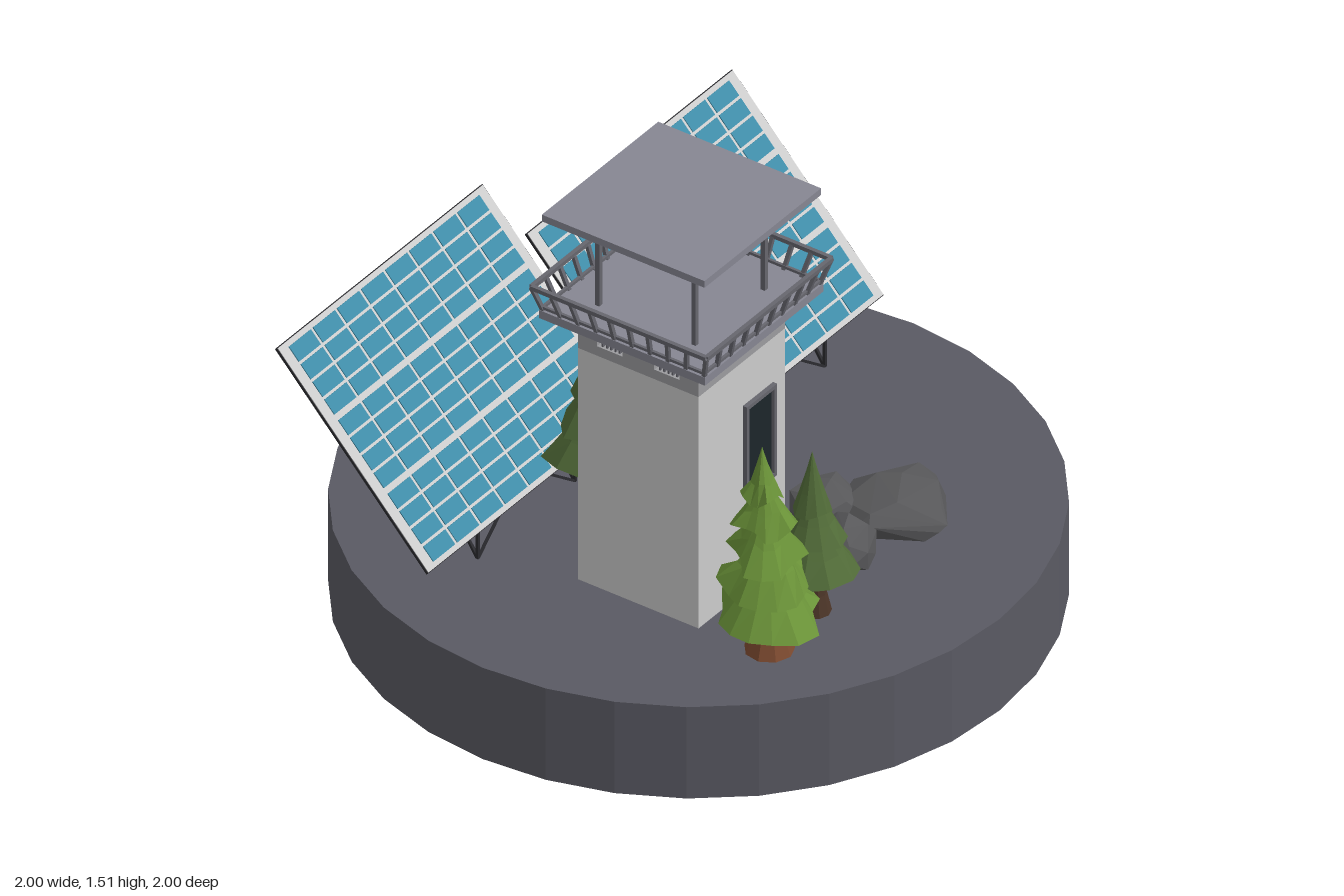
import * as THREE from 'three';
import { mergeGeometries } from 'three/addons/utils/BufferGeometryUtils.js';
import { ConvexGeometry } from 'three/addons/geometries/ConvexGeometry.js';

const paint = (color) => new THREE.MeshStandardMaterial({ color, flatShading: true });
const GROUND = paint(0x5a5a63), WALL = paint(0xcccccc), BAND = paint(0x9c9c9f), SLAB = paint(0x868692),
  METAL = paint(0x66666e), DARK = paint(0x2b2b2f), GLASS = paint(0x1c262b), FRAME = paint(0xcccccc),
  CELL = paint(0x3f8ca8), ROCK = paint(0x58585a);

function seeded(seed) {
  let s = seed;
  return () => (s = (s * 16807) % 2147483647) / 2147483647;
}
function add(parent, name, geometry, material, x = 0, y = 0, z = 0) {
  const m = new THREE.Mesh(geometry, material);
  m.name = name;
  m.position.set(x, y, z);
  parent.add(m);
  return m;
}
function group(parent, name, x = 0, y = 0, z = 0) {
  const g = new THREE.Group();
  g.name = name;
  g.position.set(x, y, z);
  parent.add(g);
  return g;
}
const box = (w, h, d, x = 0, y = 0, z = 0) => new THREE.BoxGeometry(w, h, d).translate(x, y, z);

// Thin square bar between two points
function bar(a, b, r = 0.006) {
  const p = new THREE.Vector3(...a), q = new THREE.Vector3(...b);
  const dir = q.clone().sub(p);
  const g = new THREE.CylinderGeometry(r, r, dir.length(), 4).rotateY(Math.PI / 4);
  g.applyQuaternion(new THREE.Quaternion().setFromUnitVectors(new THREE.Vector3(0, 1, 0), dir.normalize()));
  return g.translate(...p.add(q).multiplyScalar(0.5).toArray());
}
function rect(target, w, h, x = 0, y = 0) {
  target.moveTo(x - w / 2, y - h / 2).lineTo(x + w / 2, y - h / 2);
  target.lineTo(x + w / 2, y + h / 2).lineTo(x - w / 2, y + h / 2).closePath();
  return target;
}
// Flat plate with rectangular openings [w, h, x, y]
function pierced(w, h, depth, holes) {
  const s = rect(new THREE.Shape(), w, h);
  s.holes = holes.map((o) => rect(new THREE.Path(), ...o));
  return new THREE.ExtrudeGeometry(s, { depth, bevelEnabled: false });
}

function addWindow(parent, name, w, h, x, y) {
  const g = group(parent, name, x, y, 0.2);
  add(g, 'windowFrame', pierced(w, h, 0.014, [[w - 0.024, h - 0.024, 0, 0]]), METAL);
  add(g, 'windowPane', box(w - 0.02, h - 0.02, 0.004, 0, 0, 0.002), GLASS);
}

function buildTower(root) {
  const t = group(root, 'watchTower', -0.31, 0, 0.165);
  add(t, 'towerBody', box(0.4, 0.76, 0.4, 0, 0.68, 0), WALL);
  const vents = [-0.095, 0.095].map((x) => [0.084, 0.042, x, -0.003]);
  const rails = [];
  for (let i = 0; i < 4; i++) {
    // Vented band, one wall per side
    const side = group(t, 'towerSide');
    side.rotation.y = (i * Math.PI) / 2;
    add(side, 'ventedWall', pierced(0.4, 0.11, 0.02, vents), BAND, 0, 1.115, 0.18);
    const slats = [];
    for (const v of vents)
      for (let k = -2; k <= 2; k++) slats.push(box(0.005, 0.042, 0.008, v[2] + k * 0.014, 1.112, 0.19));
    add(side, 'ventSlats', mergeGeometries(slats), METAL);
    if (i === 0) addWindow(side, 'tallWindow', 0.14, 0.3, 0.075, 0.765);
    if (i === 1) addWindow(side, 'wideWindow', 0.26, 0.14, 0, 0.85);
    // Railing that flares outwards
    const parts = [bar([-0.29, 1.274, 0.29], [0.29, 1.274, 0.29], 0.009),
      bar([-0.268, 1.205, 0.268], [0.268, 1.205, 0.268], 0.006)];
    for (let k = 0; k < 10; k++) {
      const u = -1 + k / 4.5;
      parts.push(bar([u * 0.266, 1.19, 0.266], [u * 0.29, 1.274, 0.29], 0.008));
    }
    rails.push(mergeGeometries(parts).rotateY((i * Math.PI) / 2));
    const c = i * Math.PI / 2 + Math.PI / 4, r = 0.16 * Math.SQRT2;
    add(t, 'roofPost', box(0.014, 0.29, 0.014), METAL, r * Math.cos(c), 1.34, r * Math.sin(c));
  }
  add(t, 'railing', mergeGeometries(rails), METAL);
  add(t, 'platform', box(0.55, 0.026, 0.55, 0, 1.183, 0), SLAB);
  add(t, 'roof', box(0.54, 0.022, 0.54, 0, 1.498, 0), SLAB);
}

function buildSolarPanel(root, cx, z0) {
  const p = group(root, 'solarPanel', cx, 0, z0);
  // Tilted plate with 8 columns and three blocks of four rows
  const plate = group(p, 'panelPlate', 0, 0.665, -0.25);
  plate.rotation.x = -0.752;
  add(plate, 'panelFrame', box(0.95, 0.732, 0.01), FRAME);
  add(plate, 'panelEdge', pierced(0.954, 0.736, 0.008, [[0.946, 0.728, 0, 0]]), DARK, 0, 0, -0.005);
  const cells = [];
  for (let c = 0; c < 8; c++)
    for (let r = 0; r < 12; r++) {
      const y = (Math.floor(r / 4) - 1) * 0.24 + ((r % 4) - 1.5) * 0.0575;
      cells.push(box(0.101, 0.049, 0.004, (c - 3.5) * 0.1115, y, 0.006));
    }
  add(plate, 'solarCells', mergeGeometries(cells), CELL);
  // Support frame
  const legs = [];
  for (const s of [-0.225, 0.225]) {
    const frontFoot = [s, 0.3, -0.012], frontTop = [s, 0.395, -0.012];
    const rearFoot = [s, 0.3, -0.22], rearTop = [s, 0.622, -0.22];
    legs.push(bar(frontFoot, frontTop), bar(rearFoot, rearTop), bar(frontTop, rearTop),
      bar(frontTop, rearFoot), bar(frontFoot, rearTop),
      bar(frontFoot, [s * 0.4, 0.4, -0.02], 0.005), bar(rearFoot, [0, 0.61, -0.22], 0.005));
  }
  legs.push(bar([-0.225, 0.618, -0.22], [0.225, 0.618, -0.22]), bar([-0.46, 0.393, -0.008], [0.46, 0.393, -0.008], 0.005));
  add(p, 'panelSupports', mergeGeometries(legs), DARK);
}

// Bell-shaped skirt of branches with a ragged rim
function skirt(r, h, sides, rag, rnd) {
  const g = new THREE.ConeGeometry(r, h, sides, 3);
  const jitter = Array.from({ length: sides }, () => rnd() - 0.5);
  const pos = g.attributes.position;
  for (let i = 0; i < pos.count; i++) {
    const x = pos.getX(i), y = pos.getY(i), z = pos.getZ(i), rad = Math.hypot(x, z);
    const t = 0.5 - y / h;
    if (rad < 1e-5) {
      if (t > 0.9) pos.setY(i, y + h * 0.3);
      continue;
    }
    const k = (Math.round((Math.atan2(z, x) / (2 * Math.PI)) * sides) + sides) % sides;
    const f = (0.78 + 0.22 * t) * (1 + jitter[k] * rag * t);
    pos.setXYZ(i, x * f, y + ((k % 2) - 0.4) * rag * 0.35 * h * t * t, z * f);
  }
  return g;
}

function buildTree(root, name, x, z, tiers, sides, rag, leaf, bark, trunkR, lean, seed) {
  const t = group(root, name, x, 0, z), rnd = seeded(seed);
  const trunk = new THREE.LatheGeometry(
    [[trunkR, 0.3], [trunkR * 0.7, 0.36], [trunkR * 0.55, 0.44], [0.012, 0.62]].map((p) => new THREE.Vector2(...p)), 9);
  add(t, 'trunk', trunk, paint(bark));
  const leaves = tiers.map(([bottom, top, r], i) => {
    const g = skirt(r, top - bottom, sides, rag, rnd).rotateY(i * 0.6);
    const u = i / (tiers.length - 1);
    return g.translate(lean[0] * u, (top + bottom) / 2, lean[1] * u);
  });
  add(t, 'foliage', mergeGeometries(leaves), paint(leaf));
}

// Faceted boulder resting on the ground
function buildRock(root, x, z, rx, h, rz, turn, seed) {
  const rnd = seeded(seed), pts = [];
  for (let i = 0; i < 24; i++) {
    const y = 1 - (i + 0.5) / 12, a = i * 2.4 + rnd() * 0.9, r = Math.sqrt(1 - y * y);
    const f = 0.88 + rnd() * 0.24;
    pts.push(new THREE.Vector3(r * Math.cos(a) * rx * f, Math.max(-0.01, h * (0.4 + 0.62 * y)), r * Math.sin(a) * rz * f));
  }
  add(root, 'rock', new ConvexGeometry(pts), ROCK, x, 0.3, z).rotation.y = turn;
}

export function createModel() {
  const root = new THREE.Group();
  root.name = 'watchTowerIsland';
  add(root, 'groundDisc', new THREE.CylinderGeometry(1, 1, 0.3, 32), GROUND, 0, 0.15, 0);

  buildTower(root);
  buildSolarPanel(root, 0.47, -0.067);
  buildSolarPanel(root, -0.362, -0.3);

  const low = [[0.44, 0.64, 0.125], [0.54, 0.73, 0.088], [0.64, 0.83, 0.056]];
  const high = low.map(([b, t, r]) => [b + 0.02, t + 0.035, r * 1.14]);
  const full = [[0.42, 0.61, 0.145], [0.51, 0.7, 0.125], [0.6, 0.78, 0.102], [0.69, 0.86, 0.08], [0.78, 0.94, 0.052]];
  buildTree(root, 'brightTree', -0.475, 0.575, full, 14, 0.4, 0x6a9238, 0x7d4a30, 0.07, [0.015, -0.035], 11);
  buildTree(root, 'frontDarkTree', -0.255, 0.57, low, 10, 0.18, 0x516b38, 0x4d3628, 0.045, [-0.015, 0], 23);
  buildTree(root, 'rearDarkTree', -0.19, -0.205, high, 10, 0.18, 0x516b38, 0x4d3628, 0.045, [0, 0], 37);

  buildRock(root, 0.24, 0.495, 0.175, 0.105, 0.16, 0.5, 5);
  buildRock(root, 0.12, 0.33, 0.115, 0.105, 0.11, 0, 19);
  buildRock(root, -0.015, 0.5, 0.085, 0.14, 0.09, 0.3, 71);
  return root;
}
